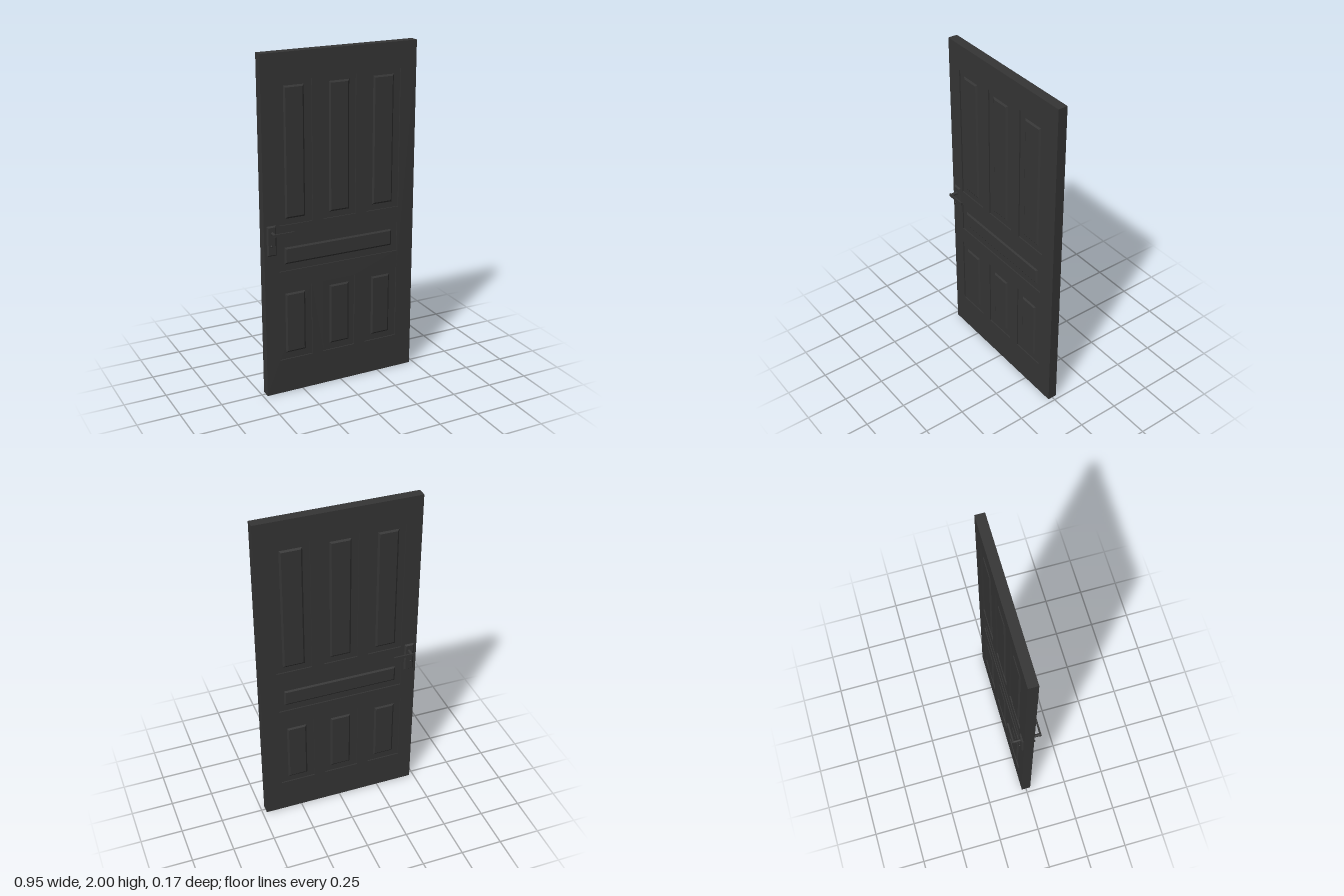
import * as THREE from 'three';

const HALF = 0.028;    // half thickness of the door
const FLOOR = 0.021;   // half thickness inside the recesses

// Recesses: outer x0, x1, y0, y1, then inner raised field x0, x1, y0, y1
const PANELS = [
  [-0.38, -0.175, 1.035, 1.845, -0.342, -0.22, 1.07, 1.818],
  [-0.11, 0.095, 1.035, 1.845, -0.07, 0.055, 1.07, 1.818],
  [0.165, 0.375, 1.035, 1.85, 0.205, 0.335, 1.07, 1.82],
  [-0.385, 0.37, 0.76, 0.94, -0.35, 0.335, 0.8, 0.9],
  [-0.39, -0.185, 0.21, 0.655, -0.35, -0.225, 0.25, 0.62],
  [-0.115, 0.09, 0.21, 0.655, -0.07, 0.055, 0.25, 0.62],
  [0.16, 0.37, 0.21, 0.655, 0.205, 0.325, 0.247, 0.62],
];

// Rectangle outline for a shape or hole
function rect(target, x0, x1, y0, y1) {
  target.moveTo(x0, y0);
  target.lineTo(x1, y0);
  target.lineTo(x1, y1);
  target.lineTo(x0, y1);
  target.closePath();
  return target;
}

// Box whose +z face is inset, giving four sloping sides
function bevelledBlock(w, h, d, inset) {
  const geo = new THREE.BoxGeometry(w, h, d).toNonIndexed();
  const p = geo.attributes.position;
  for (let i = 0; i < p.count; i++) {
    if (p.getZ(i) > 0) {
      p.setX(i, p.getX(i) - Math.sign(p.getX(i)) * inset);
      p.setY(i, p.getY(i) - Math.sign(p.getY(i)) * inset);
    }
  }
  geo.computeVertexNormals();
  return geo;
}

export function createModel() {
  const model = new THREE.Group();
  model.name = 'door';
  const charcoal = new THREE.MeshStandardMaterial({ color: 0x353535 });
  charcoal.name = 'charcoal';

  function add(parent, name, geo, x, y, z) {
    const mesh = new THREE.Mesh(geo, charcoal);
    mesh.name = name;
    mesh.position.set(x, y, z);
    parent.add(mesh);
    return mesh;
  }

  // Door frame with an opening for each panel
  const outline = rect(new THREE.Shape(), -0.475, 0.475, 0, 2);
  for (const [x0, x1, y0, y1] of PANELS) outline.holes.push(rect(new THREE.Path(), x0, x1, y0, y1));
  const frame = new THREE.ExtrudeGeometry(outline, { depth: HALF * 2, bevelEnabled: false });
  add(model, 'doorFrame', frame, 0, 0, -HALF);

  // Recessed panels with a raised field on both sides
  for (const [x0, x1, y0, y1, a0, a1, b0, b1] of PANELS) {
    const panel = new THREE.Group();
    panel.name = 'panel';
    model.add(panel);
    add(panel, 'recess', new THREE.BoxGeometry(x1 - x0, y1 - y0, FLOOR * 2), (x0 + x1) / 2, (y0 + y1) / 2, 0);
    for (const side of [1, -1]) {
      const field = add(panel, 'raisedField', bevelledBlock(a1 - a0, b1 - b0, 0.007, 0.01),
        (a0 + a1) / 2, (b0 + b1) / 2, side * (FLOOR + 0.0035));
      if (side < 0) field.rotation.x = Math.PI;
    }
  }

  // Lever handles, front and back
  for (const side of [1, -1]) {
    const handle = new THREE.Group();
    handle.name = side > 0 ? 'frontHandle' : 'backHandle';
    model.add(handle);
    const plate = add(handle, 'backPlate', bevelledBlock(0.058, 0.178, 0.009, 0.008), -0.43, 0.955, side * 0.0325);
    if (side < 0) plate.rotation.x = Math.PI;

    const spindle = new THREE.CylinderGeometry(0.009, 0.009, 0.05, 16);
    add(handle, 'spindle', spindle.rotateX(Math.PI / 2), -0.428, 1.002, side * 0.058);
    add(handle, 'lever', new THREE.BoxGeometry(0.121, 0.016, 0.009), -0.3765, 1.002, side * 0.0795);

    const knob = new THREE.SphereGeometry(0.006, 12, 8);
    add(handle, 'latchKnob', knob, -0.437, 0.93, side * 0.043);
  }
  return model;
}
